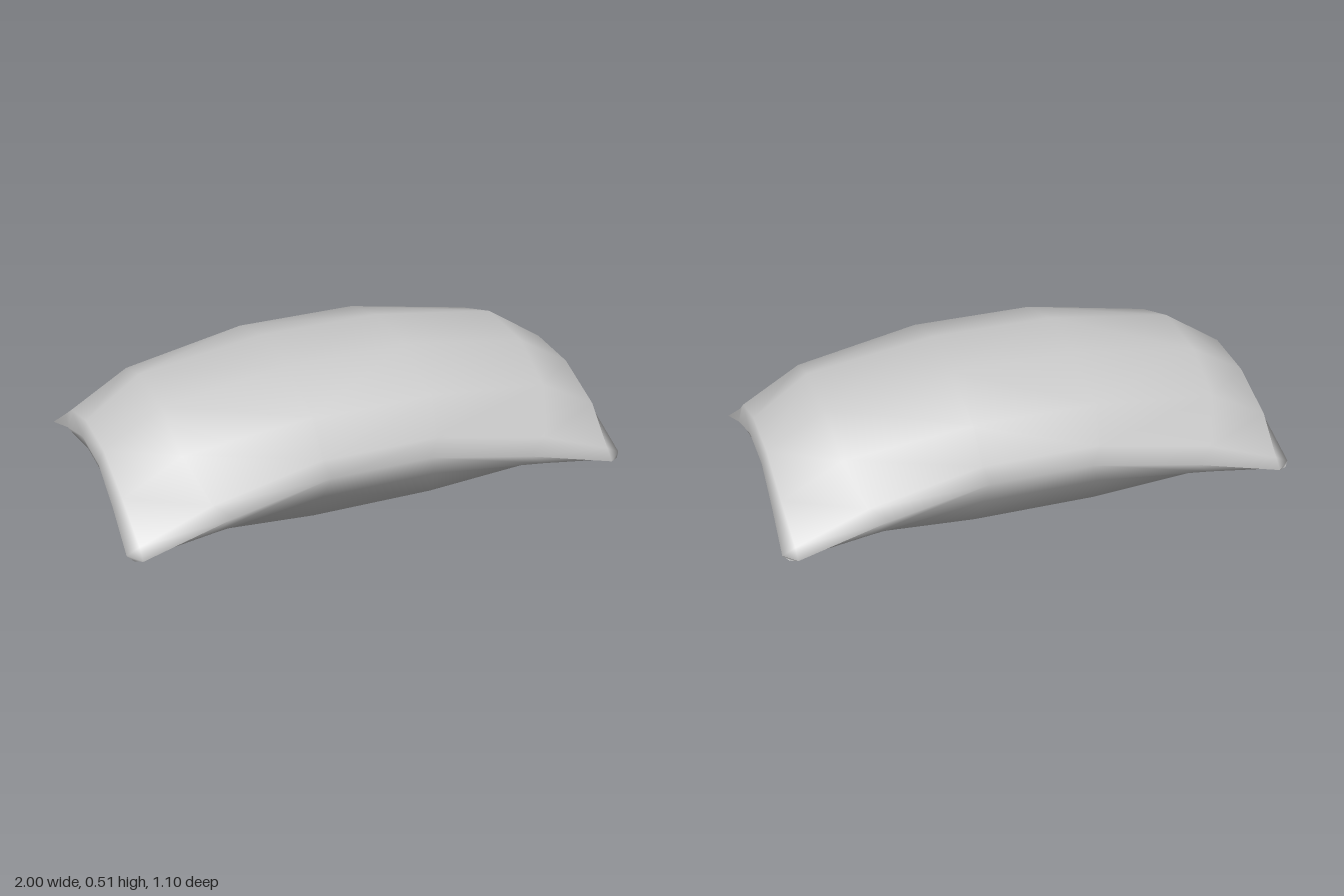
import * as THREE from 'three';

// One quarter of the cushion, from the middle out to the corner.
// Rows run along x, columns along z; each point is [x, z, top y, bottom y].
// The last row and column are the seam, where top and bottom meet.
const QUARTER = [
  [[0.24, 0.14, 0.51, 0.002], [0.24, 0.40, 0.425, 0.005], [0.23, 0.474, 0.285, 0.13], [0.20, 0.487, 0.21, 0.21]],
  [[0.74, 0.14, 0.435, 0.022], [0.73, 0.36, 0.35, 0.01], [0.67, 0.512, 0.215, 0.10], [0.60, 0.528, 0.155, 0.155]],
  [[0.962, 0.12, 0.29, 0.17], [0.962, 0.35, 0.215, 0.11], [0.95, 0.51, 0.105, 0.055], [0.95, 0.55, 0.07, 0.07]],
  [[0.982, 0.11, 0.23, 0.23], [0.99, 0.31, 0.165, 0.165], [1.0, 0.51, 0.08, 0.08], [0.98, 0.535, 0.07, 0.07]],
];
const N = 8;

function cushionGeometry() {
  const positions = [], index = [], ids = new Map();

  // Mirror the quarter to any grid point; seam points are shared by both faces
  const vertex = (i, j, top) => {
    const seam = i === 0 || j === 0 || i === N - 1 || j === N - 1;
    const key = `${i},${j},${seam || top}`;
    if (!ids.has(key)) {
      const sx = i < 4 ? -1 : 1, sz = j < 4 ? -1 : 1;
      const [x, z, yTop, yBottom] = QUARTER[i < 4 ? 3 - i : i - 4][j < 4 ? 3 - j : j - 4];
      const lift = -0.013 * sz * (z / 0.55) ** 3; // back edge sits slightly higher
      ids.set(key, positions.length / 3);
      positions.push(sx * x, yTop === yBottom || top ? (top ? yTop : yBottom) + lift : yBottom + lift, sz * z);
    }
    return ids.get(key);
  };

  for (const top of [true, false]) {
    for (let i = 0; i < N - 1; i++) {
      for (let j = 0; j < N - 1; j++) {
        const a = vertex(i, j, top), b = vertex(i, j + 1, top);
        const c = vertex(i + 1, j + 1, top), d = vertex(i + 1, j, top);
        // Diagonals mirror from quarter to quarter, cutting across the corners
        const tris = (i < 3) === (j < 3)
          ? [[a, b, d], [b, c, d]]
          : [[a, b, c], [a, c, d]];
        for (const [p, q, r] of tris) index.push(...(top ? [p, q, r] : [p, r, q]));
      }
    }
  }

  const geometry = new THREE.BufferGeometry();
  geometry.setAttribute('position', new THREE.Float32BufferAttribute(positions, 3));
  geometry.setIndex(index);
  geometry.computeVertexNormals();
  return geometry;
}

export function createModel() {
  const group = new THREE.Group();
  group.name = 'pillow';
  const cushion = new THREE.Mesh(cushionGeometry(), new THREE.MeshStandardMaterial({ color: 0xcccccc }));
  cushion.name = 'cushion';
  group.add(cushion);
  return group;
}
